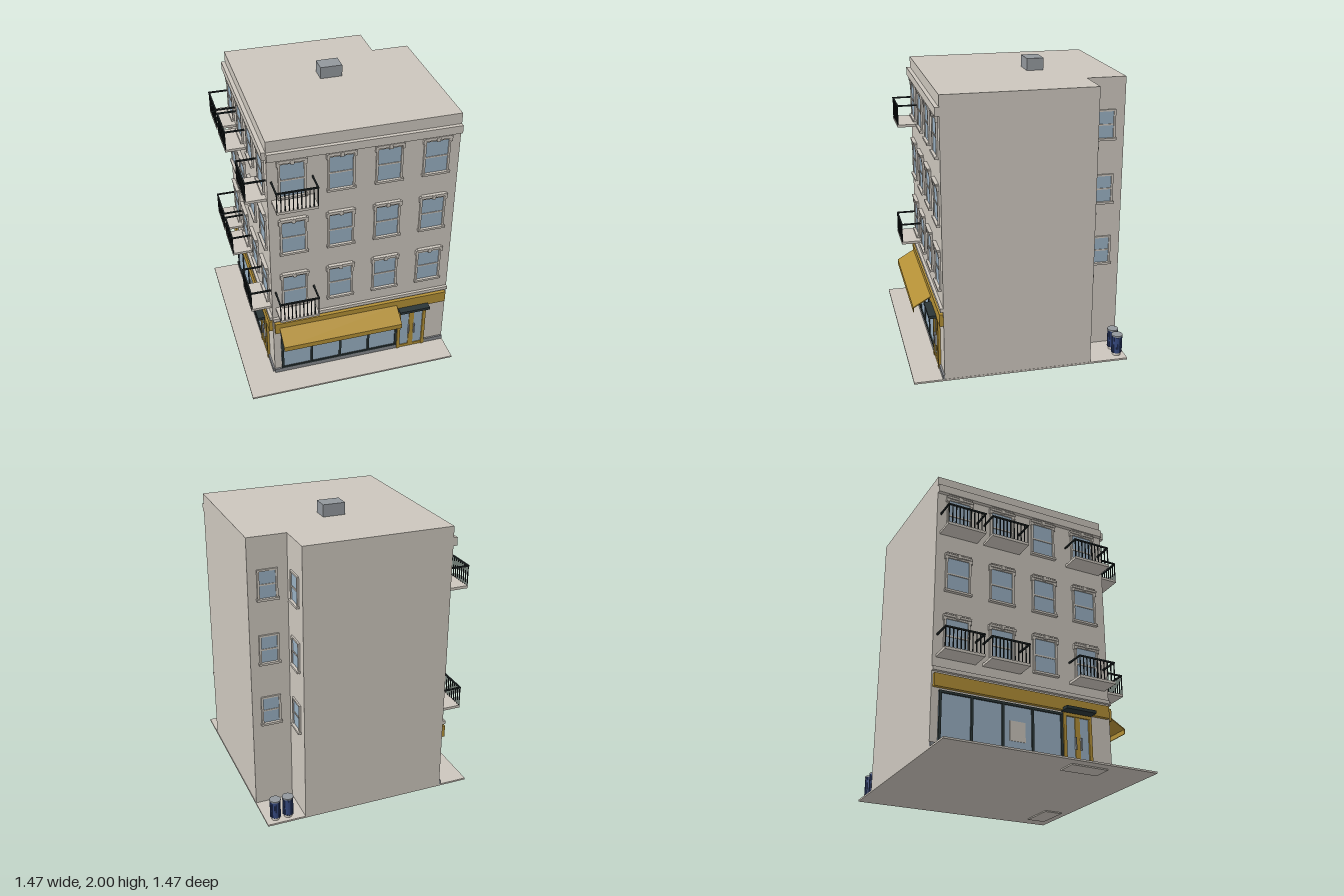
import * as THREE from 'three';

const mat = (name, color) => {
  const m = new THREE.MeshStandardMaterial({ color });
  m.name = name;
  return m;
};

export function createModel() {
  const stone = mat('stone', 0xcbc5bc);
  const gold = mat('gold', 0xb28f36);
  const frame = mat('dark frame', 0x2b3637);
  const rail = mat('iron', 0x1e2526);
  const glass = mat('glass', 0x98afc1);
  const grey = mat('grey', 0x92979c);
  const plinthGrey = mat('plinth grey', 0x86888c);
  const blue = mat('blue', 0x34477c);

  const root = new THREE.Group();
  root.name = 'cornerBuilding';

  const group = (parent, name) => {
    const g = new THREE.Group();
    g.name = name;
    parent.add(g);
    return g;
  };
  const mesh = (parent, name, geo, m) => {
    const o = new THREE.Mesh(geo, m);
    o.name = name;
    parent.add(o);
    return o;
  };
  // Box given by its limits on each axis
  const box = (parent, name, m, x0, x1, y0, y1, z0, z1) => {
    const o = mesh(parent, name, new THREE.BoxGeometry(x1 - x0, y1 - y0, z1 - z0), m);
    o.position.set((x0 + x1) / 2, (y0 + y1) / 2, (z0 + z1) / 2);
    return o;
  };

  // Main block with a notch in the back corner
  const plan = new THREE.Shape([
    [-0.53, -0.53], [0.73, -0.53], [0.73, 0.47], [0.47, 0.47], [0.47, 0.735], [-0.53, 0.735],
  ].map(([x, y]) => new THREE.Vector2(x, y)));
  const block = new THREE.ExtrudeGeometry(plan, { depth: 1.905, bevelEnabled: false });
  block.rotateX(-Math.PI / 2).translate(0, 0.015, 0);
  mesh(root, 'mainBlock', block, stone);
  box(root, 'pavement', stone, -0.735, 0.732, 0.008, 0.02, -0.735, 0.732);
  box(root, 'roofVent', grey, 0.005, 0.155, 1.92, 2, -0.268, -0.155);

  // Sash window; the wall surface is at z = 0 and the sill top at y = 0
  function sashWindow(parent, name, hw, h, ornate) {
    const g = group(parent, name);
    box(g, 'pane', glass, -hw, hw, 0, h, 0, 0.004);
    box(g, 'meetingRail', stone, -hw, hw, h / 2 - 0.005, h / 2 + 0.005, 0, 0.008);
    for (const s of [-1, 1]) {
      const x = s * (hw + 0.005);
      box(g, 'jamb', stone, x - 0.007, x + 0.007, 0, h + 0.012, 0, 0.012);
      if (ornate) {
        const e = s * (hw + 0.012);
        box(g, 'bracket', stone, e - 0.008, e + 0.008, h - 0.012, h + 0.016, 0, 0.016);
      }
    }
    box(g, 'head', stone, -hw, hw, h, h + 0.012, 0, 0.011);
    box(g, 'sill', stone, -hw - 0.018, hw + 0.018, -0.015, 0, 0, 0.023);
    if (ornate) {
      box(g, 'lintel', stone, -hw - 0.02, hw + 0.02, h + 0.012, h + 0.026, 0, 0.02);
      box(g, 'lintelCap', stone, -hw - 0.008, hw + 0.008, h + 0.026, h + 0.035, 0, 0.024);
      box(g, 'keystone', stone, -0.012, 0.012, h + 0.004, h + 0.033, 0, 0.027);
    }
    return g;
  }

  // Balcony with an iron railing; the wall surface is at z = 0
  function balcony(parent, y) {
    const g = group(parent, 'balcony');
    const w = 0.134, d = 0.137, top = 0.158;
    box(g, 'balconySlab', stone, -w, w, 0, 0.018, 0, d);
    box(g, 'frontHandrail', rail, -w - 0.002, w + 0.002, top - 0.01, top, d - 0.009, d + 0.001);
    for (const s of [-1, 1]) {
      const x = s * (w - 0.003);
      box(g, 'sideHandrail', rail, x - 0.005, x + 0.005, top - 0.01, top, 0, d);
    }
    for (let i = 0; i <= 10; i++) {
      const x = -w + 0.004 + (i * (2 * w - 0.008)) / 10;
      box(g, 'baluster', rail, x - 0.003, x + 0.003, 0.018, top - 0.01, d - 0.007, d - 0.001);
    }
    g.position.y = y;
    return g;
  }

  // One street facade: u runs along the wall, shifted by s
  const D = 0.53;
  const floors = [0.638, 1.078, 1.518];
  function facade(name, s, balconyColumns) {
    const g = group(root, name);
    const u0 = -0.53 + s, u1 = 0.73 + s;
    box(g, 'cornice', stone, u0, u1, 1.79, 1.845, D, D + 0.027);
    box(g, 'beltCourse', stone, u0, u1, 0.505, 0.53, D, D + 0.02);
    box(g, 'fascia', gold, u0 + 0.01, u1 - 0.01, 0.4, 0.485, D, D + 0.025);
    box(g, 'plinth', plinthGrey, u0, 0.375 + s, 0.02, 0.05, D, D + 0.012);
    box(g, 'plinth', plinthGrey, 0.585 + s, u1, 0.02, 0.05, D, D + 0.012);

    // Upper windows and balconies
    floors.forEach((y, f) => {
      for (let c = 0; c < 4; c++) {
        const u = -0.372 + c * 0.315 + s;
        sashWindow(g, 'window', 0.077, 0.232, true).position.set(u, y, D);
        if (f !== 1 && balconyColumns.includes(c)) balcony(g, y - 0.04).position.set(u, y - 0.04, D);
      }
    });

    // Shop window
    const shop = group(g, 'shopWindow');
    const a = -0.48 + s, b = 0.373 + s;
    box(shop, 'shopGlass', glass, a, b, 0.055, 0.375, D, D + 0.005);
    box(shop, 'topBar', frame, a, b, 0.368, 0.384, D, D + 0.014);
    box(shop, 'bottomBar', frame, a, b, 0.05, 0.064, D, D + 0.014);
    for (let i = 0; i <= 4; i++) {
      const u = a + 0.008 + (i * (b - a - 0.016)) / 4;
      box(shop, 'mullion', frame, u - 0.008, u + 0.008, 0.05, 0.384, D, D + 0.013);
    }

    // Double door with canopy and step
    const door = group(g, 'entrance');
    door.position.x = 0.48 + s;
    box(door, 'doorHead', gold, -0.105, 0.105, 0.368, 0.39, D, D + 0.018);
    box(door, 'doorGlass', glass, -0.1, 0.1, 0.03, 0.37, D, D + 0.006);
    box(door, 'doorBottom', gold, -0.1, 0.1, 0.02, 0.042, D, D + 0.012);
    box(door, 'meetingStile', gold, -0.018, 0.018, 0.02, 0.37, D, D + 0.012);
    for (const k of [-1, 1]) {
      box(door, 'doorPost', gold, k * 0.094 - 0.011, k * 0.094 + 0.011, 0.02, 0.37, D, D + 0.017);
      box(door, 'handle', grey, k * 0.02 - 0.004, k * 0.02 + 0.004, 0.15, 0.23, D + 0.012, D + 0.026);
    }
    box(door, 'canopy', frame, -0.112, 0.108, 0.395, 0.415, D, D + 0.075);
    box(door, 'step', stone, -0.13, 0.13, 0, 0.01, D + 0.005, D + 0.14);
    return g;
  }

  // Front facade with its awning
  const front = facade('frontFacade', 0, [0]);
  const profile = new THREE.Shape([
    [0.553, 0.448], [0.676, 0.376], [0.676, 0.34], [0.67, 0.34], [0.67, 0.371], [0.553, 0.44],
  ].map(([z, y]) => new THREE.Vector2(z, y)));
  const awning = new THREE.ExtrudeGeometry(profile, { depth: 0.845, bevelEnabled: false });
  awning.rotateY(-Math.PI / 2).translate(0.355, 0, 0);
  mesh(front, 'awning', awning, gold);

  // Side facade, turned to face -x
  const side = facade('sideFacade', -0.205, [0, 1, 3]);
  side.rotation.y = -Math.PI / 2;
  box(side, 'windowNotice', stone, -0.21, -0.1, 0.14, 0.27, D + 0.005, D + 0.008);

  // Plain windows in the notch
  for (const y of floors) {
    const back = sashWindow(root, 'notchWindow', 0.055, 0.178, false);
    back.position.set(0.604, y, -0.47);
    back.rotation.y = Math.PI;
    const flank = sashWindow(root, 'notchWindow', 0.055, 0.178, false);
    flank.position.set(0.47, y, -0.605);
    flank.rotation.y = Math.PI / 2;
  }

  // Ribbed bins behind the building
  for (const x of [0.575, 0.663]) {
    const bin = group(root, 'bin');
    bin.position.set(x, 0, -0.68);
    mesh(bin, 'binFoot', new THREE.CylinderGeometry(0.028, 0.028, 0.022, 16), stone).position.y = 0.03;
    mesh(bin, 'binBody', new THREE.CylinderGeometry(0.033, 0.031, 0.125, 20), blue).position.y = 0.1025;
    mesh(bin, 'binLid', new THREE.CylinderGeometry(0.038, 0.038, 0.01, 20), grey).position.y = 0.168;
    for (let i = 0; i < 12; i++) {
      const t = (i * Math.PI) / 6;
      const rib = box(bin, 'binRib', blue, -0.004, 0.004, 0.04, 0.163, -0.003, 0.003);
      rib.position.x = Math.sin(t) * 0.033;
      rib.position.z = Math.cos(t) * 0.033;
      rib.rotation.y = t;
    }
  }
  return root;
}
